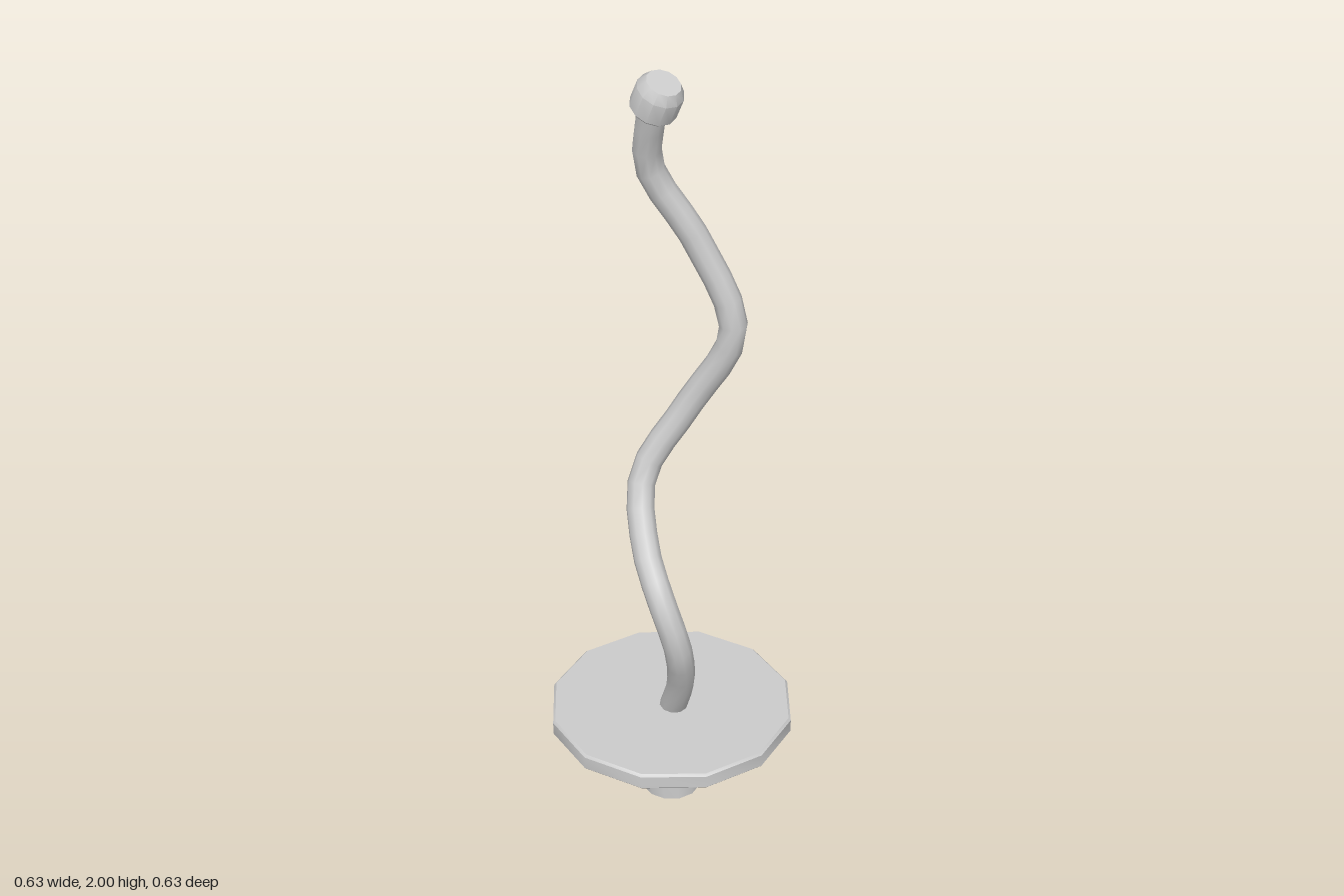
import * as THREE from 'three';
import { toCreasedNormals } from 'three/addons/utils/BufferGeometryUtils.js';

const material = new THREE.MeshStandardMaterial({ color: 0xcccccc });

function addPart(group, name, geometry) {
  const mesh = new THREE.Mesh(geometry, material);
  mesh.name = name;
  group.add(mesh);
  return mesh;
}

// Turned part from [radius, height] pairs, with sharp rims
function turned(profile, sides) {
  const points = profile.map(([r, y]) => new THREE.Vector2(r, y));
  return toCreasedNormals(new THREE.LatheGeometry(points, sides), 0.6);
}

export function createModel() {
  const group = new THREE.Group();

  // Short round peg under the disc
  addPart(group, 'peg', turned([[0, 0], [0.075, 0], [0.075, 0.225]], 12));

  // Twelve-sided disc with a small bevel on both rims
  addPart(group, 'disc', turned([
    [0, 0.22], [0.307, 0.22], [0.313, 0.226], [0.313, 0.259], [0.307, 0.265], [0, 0.265],
  ], 12));

  // Winding stem
  const path = new THREE.CatmullRomCurve3([
    [0, 0.24, 0], [0.066, 0.38, 0.035], [0.103, 0.53, 0.085], [0.07, 0.65, 0.103],
    [-0.02, 0.76, 0.07], [-0.097, 0.91, 0], [-0.035, 1.1, -0.098], [0.06, 1.32, -0.15],
    [-0.02, 1.55, -0.105], [-0.1, 1.74, -0.03], [-0.06, 1.91, 0],
  ].map((p) => new THREE.Vector3(...p)));
  addPart(group, 'stem', new THREE.TubeGeometry(path, 30, 0.035, 10, false));

  // Tilted end cap with a chamfered top
  const cap = addPart(group, 'cap', turned([
    [0, 0], [0.052, 0], [0.057, 0.006], [0.057, 0.062], [0.042, 0.085], [0, 0.085],
  ], 12));
  cap.position.set(-0.06, 1.904, 0);
  cap.rotation.z = -0.44;

  return group;
}
